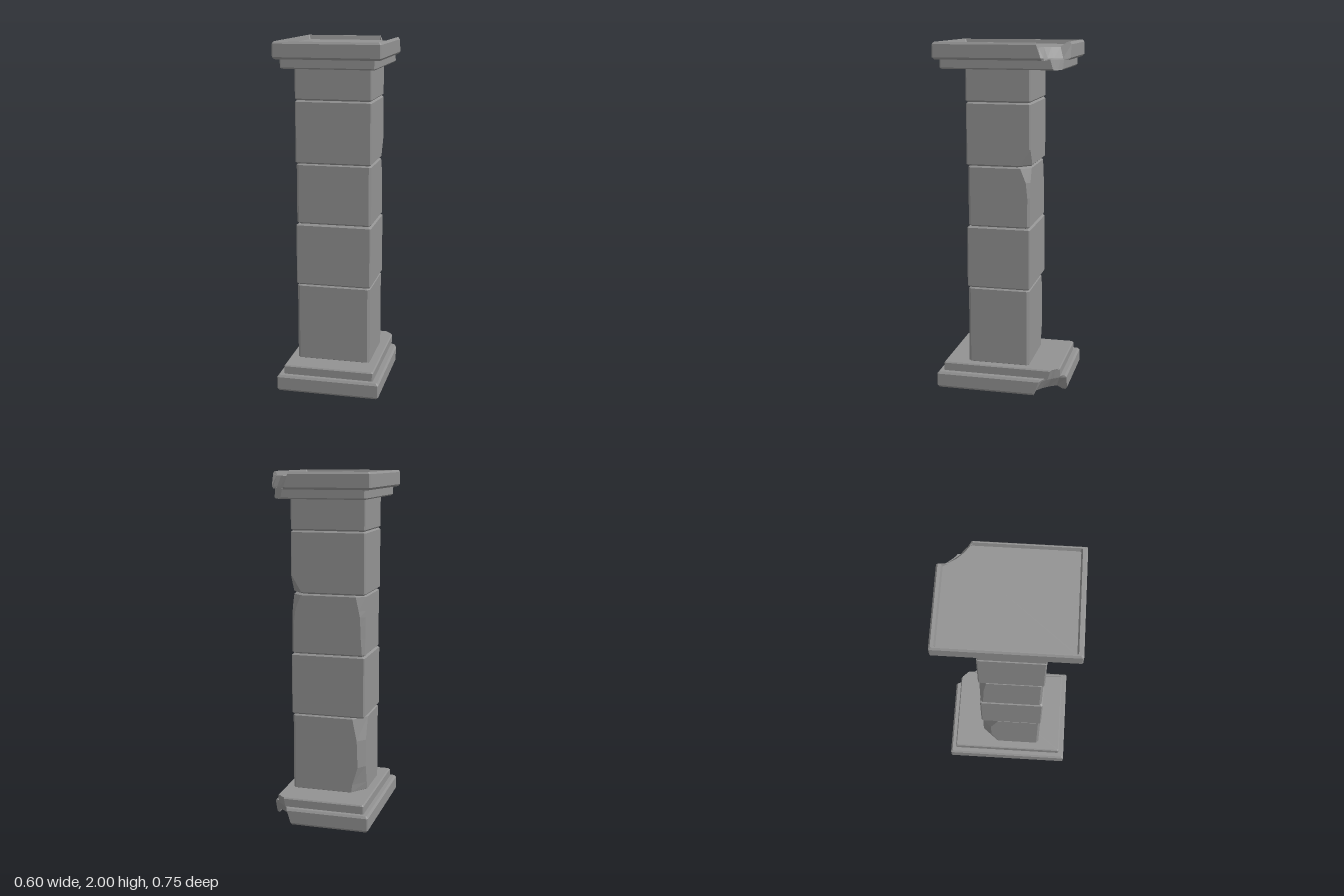
import * as THREE from 'three';

// Skins a stack of equal-length rings (counterclockwise seen from above) and caps both ends
function loft(rings) {
  const n = rings[0].length;
  const positions = rings.flat(2);
  const index = [];
  for (let k = 0; k < rings.length - 1; k++) {
    for (let i = 0; i < n; i++) {
      const j = (i + 1) % n;
      const a = k * n + i, b = k * n + j, c = b + n, d = a + n;
      index.push(a, b, c, a, c, d);
    }
  }
  const cap = (ring, start, up) => {
    const center = positions.length / 3;
    for (let axis = 0; axis < 3; axis++) {
      positions.push(ring.reduce((sum, p) => sum + p[axis], 0) / n);
    }
    for (let i = 0; i < n; i++) {
      const a = start + i, b = start + (i + 1) % n;
      index.push(center, up ? a : b, up ? b : a);
    }
  };
  cap(rings[0], 0, false);
  cap(rings[rings.length - 1], (rings.length - 1) * n, true);
  const geometry = new THREE.BufferGeometry();
  geometry.setAttribute('position', new THREE.Float32BufferAttribute(positions, 3));
  geometry.setIndex(index);
  geometry.computeVertexNormals();
  return geometry;
}

// Rectangle ring with three small corner bevels; the back +x corner follows the given chip points
function slabRing(y, [x0, x1, z0, z1], [insetX, insetZ], chip, chipTop) {
  const l = x0 + insetX, r = x1 - insetX, b = z0 + insetZ, f = z1 - insetZ, c = 0.006;
  const edge = chip.map(([x, z], i) => {
    if (i === 0) return [r, y, z];
    if (i === chip.length - 1) return [x, y, b];
    return [Math.min(x, r), Math.min(y, chipTop), Math.max(z, b)];
  });
  return [[r - c, y, f], [r, y, f - c], ...edge,
    [l + c, y, b], [l, y, b + c], [l, y, f - c], [l + c, y, f]];
}

// Rectangle ring whose four corners are cut by [along x, along z]
function blockRing(y, [x0, x1, z0, z1], inset, [p, q], [s, t], bevel) {
  const l = x0 + inset, r = x1 - inset, b = z0 + inset, f = z1 - inset;
  return [[r - bevel, y, f], [r, y, f - bevel], [r, y, b + q], [r - p, y, b],
    [l + s, y, b], [l, y, b + t], [l, y, f - bevel], [l + bevel, y, f]];
}

export function createModel() {
  const group = new THREE.Group();
  const stone = new THREE.MeshStandardMaterial({ color: 0x929292, flatShading: true });
  const add = (name, rings, parent) => {
    const mesh = new THREE.Mesh(loft(rings), stone);
    mesh.name = name;
    parent.add(mesh);
  };

  // Broken corner of the wide slab: lower and upper edge of the break
  const low = [[0.298, -0.235], [0.285, -0.25], [0.257, -0.266], [0.232, -0.295], [0.198, -0.338], [0.185, -0.375]];
  const high = [[0.298, -0.203], [0.274, -0.21], [0.238, -0.235], [0.2, -0.27], [0.17, -0.315], [0.155, -0.375]];
  const blend = (from, to, t) => from.map(([x, z], i) => [x + (to[i][0] - x) * t, z + (to[i][1] - z) * t]);

  // Wide slab with a bevelled rim around a shallow recess: [y, inset x, inset z, break blend]
  const wide = [-0.298, 0.298, -0.375, 0.375];
  const slab = [[1.905, 0.01, 0.01, 0], [1.917, 0, 0, 0.1], [1.988, 0, 0, 0.88],
    [2, 0.008, 0.009, 1], [2, 0.015, 0.026, 1], [1.975, 0.02, 0.033, 1]]
    .map(([y, insetX, insetZ, t]) => slabRing(y, wide, [insetX, insetZ], blend(low, high, t), 1.975));

  // Narrower tier between slab and shaft, with its own smaller break
  const narrow = [-0.264, 0.261, -0.341, 0.342];
  const tierLow = [[0.261, -0.295], [0.252, -0.3], [0.244, -0.307], [0.234, -0.318], [0.222, -0.33], [0.212, -0.341]];
  const tierHigh = [[0.261, -0.278], [0.25, -0.285], [0.238, -0.295], [0.226, -0.309], [0.211, -0.327], [0.2, -0.341]];
  const tier = [[1.853, 0.006, 0], [1.86, 0, 0.15], [1.91, 0, 1]]
    .map(([y, inset, t]) => slabRing(y, narrow, [inset, inset], blend(tierLow, tierHigh, t), 2));

  // Capital on top, the same shape upside down as the base
  const flip = (rings) => rings.map((ring) => ring.map(([x, y, z]) => [x, 2 - y, z])).reverse();
  for (const [name, turn] of [['capital', (rings) => rings], ['base', flip]]) {
    const part = new THREE.Group();
    part.name = name;
    add(name + 'Slab', turn(slab), part);
    add(name + 'Tier', turn(tier), part);
    group.add(part);
  }

  // Shaft blocks: size, bevel and worn corners as [height 0..1, cut x, cut z]
  const blocks = [
    { y: [0.14, 0.6], box: [-0.217, 0.212, -0.157, 0.203], bevel: 0.014,
      left: [[0, 0.075, 0.095], [0.12, 0.068, 0.08], [0.35, 0.036, 0.052], [0.7, 0.042, 0.052], [1, 0.07, 0.1]] },
    { y: [0.6, 0.962], box: [-0.22, 0.216, -0.161, 0.207], bevel: 0.007 },
    { y: [0.962, 1.312], box: [-0.218, 0.214, -0.158, 0.199], bevel: 0.013,
      right: [[0, 0.013, 0.013], [0.5, 0.013, 0.013], [0.75, 0.024, 0.022], [1, 0.06, 0.057]],
      left: [[0, 0.014, 0.014], [0.3, 0.022, 0.02], [0.65, 0.027, 0.026], [1, 0.054, 0.042]] },
    { y: [1.312, 1.67], box: [-0.22, 0.216, -0.161, 0.207], bevel: 0.007,
      right: [[0, 0.067, 0.065], [0.28, 0.007, 0.007], [1, 0.007, 0.007]] },
    { y: [1.67, 1.87], box: [-0.22, 0.216, -0.159, 0.209], bevel: 0.007 },
  ];
  const cutAt = (table, t) => {
    const i = Math.max(1, table.findIndex(([h]) => h >= t));
    const [h0, p0, q0] = table[i - 1], [h1, p1, q1] = table[i];
    const u = (t - h0) / (h1 - h0);
    return [p0 + (p1 - p0) * u, q0 + (q1 - q0) * u];
  };
  const shaft = new THREE.Group();
  shaft.name = 'shaft';
  group.add(shaft);
  blocks.forEach(({ y: [y0, y1], box, bevel, right, left }, i) => {
    const plain = [[0, bevel, bevel], [1, bevel, bevel]];
    const rightCut = right ?? plain, leftCut = left ?? plain;
    const edge = 0.009 / (y1 - y0);
    const heights = [edge, 1 - edge, ...[...rightCut, ...leftCut].map(([h]) => h)];
    const levels = [...new Set(heights)].sort((a, b) => a - b);
    add('shaftBlock' + (i + 1), levels.map((t) => blockRing(y0 + (y1 - y0) * t, box,
      t === 0 || t === 1 ? 0.01 : 0, cutAt(rightCut, t), cutAt(leftCut, t), bevel)), shaft);
  });
  return group;
}
